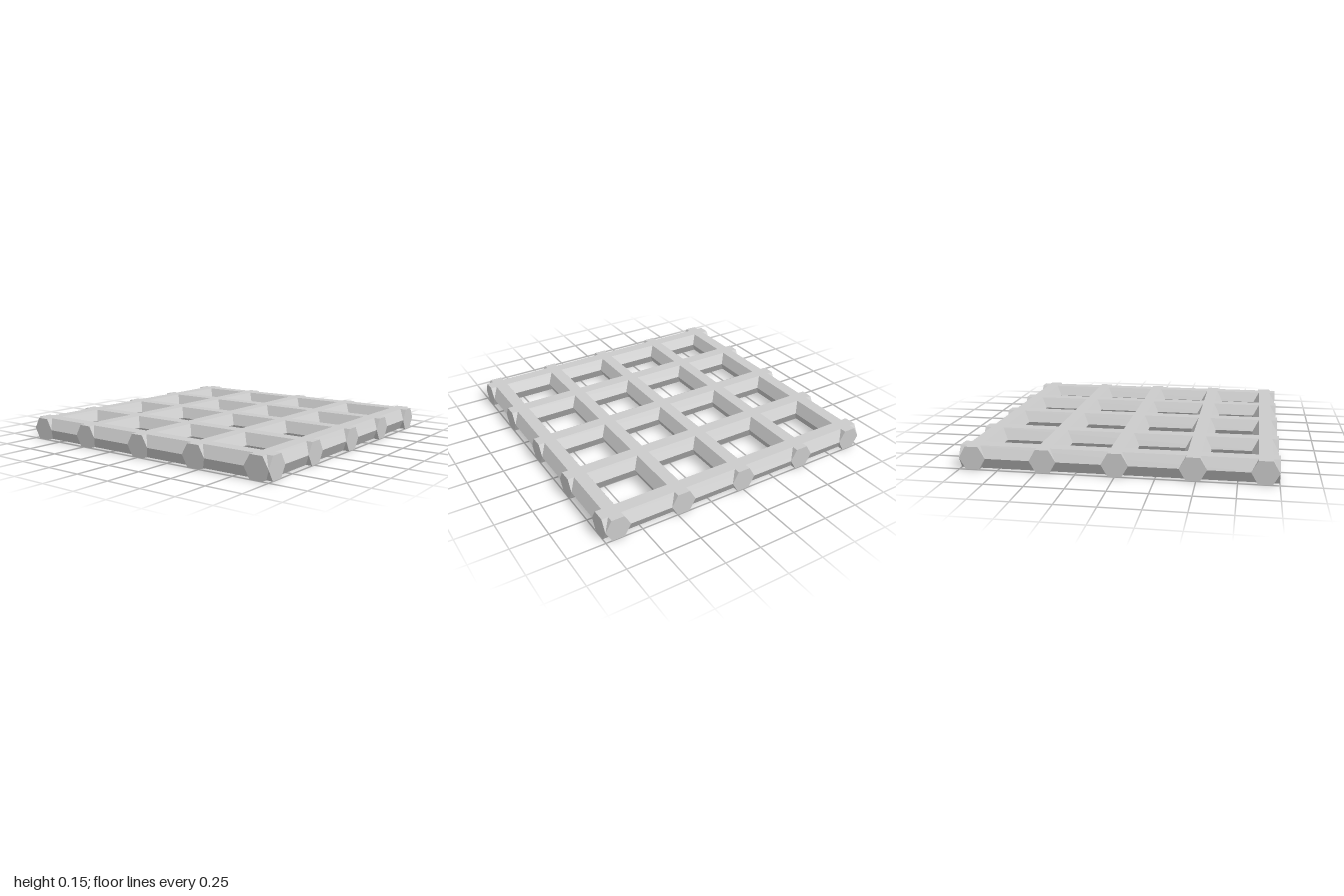
import * as THREE from 'three';

const RADIUS = 0.086;
const LENGTH = 2;
const OFFSETS = [-0.914, -0.481, 0, 0.457, 0.914];

export function createModel() {
  const model = new THREE.Group();
  model.name = 'grate';
  const material = new THREE.MeshStandardMaterial({ color: 0xcccccc, flatShading: true });

  // Hexagonal bar lying along x with a flat face up, and its copy along z
  const barX = new THREE.CylinderGeometry(RADIUS, RADIUS, LENGTH, 6).rotateZ(Math.PI / 2);
  const barZ = barX.clone().rotateY(Math.PI / 2);
  const height = RADIUS * Math.cos(Math.PI / 6);

  const addBar = (geometry, name, x, z) => {
    const bar = new THREE.Mesh(geometry, material);
    bar.name = name;
    bar.position.set(x, height, z);
    model.add(bar);
  };

  // Two crossing rows of bars
  OFFSETS.forEach((offset, i) => {
    addBar(barX, `crossBar${i + 1}`, 0, offset);
    addBar(barZ, `longBar${i + 1}`, offset, 0);
  });

  return model;
}
